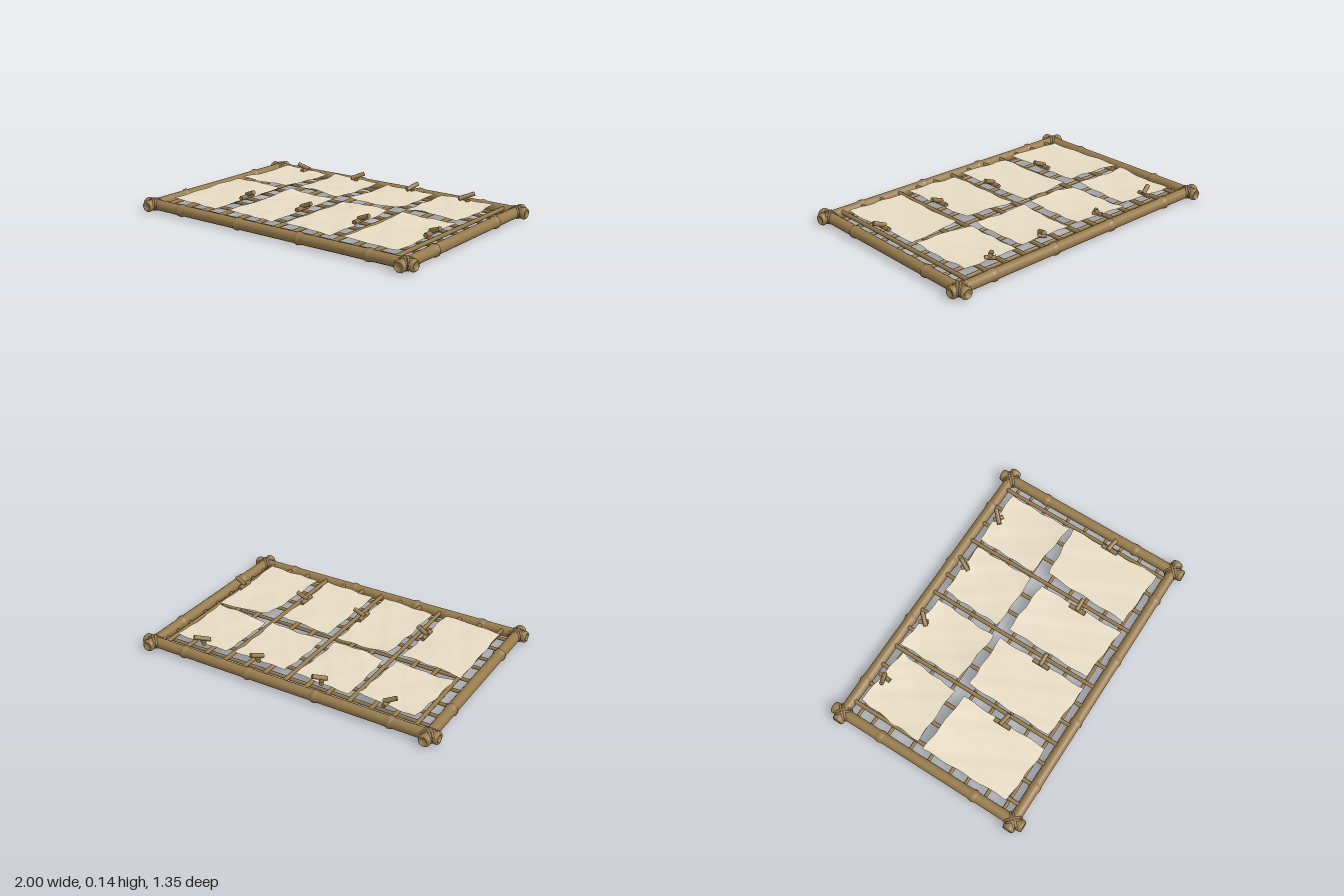
import * as THREE from 'three';

const cane = new THREE.MeshStandardMaterial({ color: 0x967a4c });
cane.name = 'bamboo';
const paper = new THREE.MeshStandardMaterial({ color: 0xe6dac2 });
paper.name = 'paper';

const POLE_Y = 0.042;
const V = (x, y, z) => new THREE.Vector3(x, y, z);
const UP = V(0, 1, 0);

function add(parent, name, geometry, material) {
  const mesh = new THREE.Mesh(geometry, material);
  mesh.name = name;
  parent.add(mesh);
  return mesh;
}

// Places a y-aligned mesh so that it points along dir
function aim(mesh, position, dir) {
  mesh.position.copy(position);
  mesh.quaternion.setFromUnitVectors(UP, dir.clone().normalize());
  return mesh;
}

// Bamboo pole with swollen joints and flared, slightly hollow ends
function pole(length, joints) {
  const r = 0.033, h = length / 2;
  const pts = [[0, -h + 0.012], [0.02, -h + 0.012], [0.022, -h], [0.031, -h], [0.037, -h + 0.01], [0.037, -h + 0.02], [r, -h + 0.035]];
  for (const j of joints) {
    pts.push([r, j - 0.03], [0.036, j - 0.012], [0.040, j - 0.006], [0.037, j], [0.040, j + 0.006], [0.036, j + 0.012], [r, j + 0.03]);
  }
  pts.push([r, h - 0.035], [0.037, h - 0.02], [0.037, h - 0.01], [0.031, h], [0.022, h], [0.02, h - 0.012], [0, h - 0.012]);
  return new THREE.LatheGeometry(pts.map(p => new THREE.Vector2(...p)), 16);
}

function rod(parent, name, a, b, radius, sides = 8) {
  const d = b.clone().sub(a);
  const mesh = add(parent, name, new THREE.CylinderGeometry(radius, radius, d.length(), sides), cane);
  return aim(mesh, a.clone().add(b).multiplyScalar(0.5), d);
}

// Curled sheet between four corners [x, z], listed from back left clockwise
function sheet(corners, seed, backRow) {
  const n = 16;
  const g = new THREE.PlaneGeometry(1, 1, n, n);
  const p = g.attributes.position;
  const [a, b, c, d] = corners;
  for (let i = 0; i < p.count; i++) {
    const u = p.getX(i) + 0.5, v = 0.5 - p.getY(i);
    const mix = k => (a[k] * (1 - u) + b[k] * u) * (1 - v) + (d[k] * (1 - u) + c[k] * u) * v;
    const ragged = 0.004;
    const x = mix(0) + ragged * Math.sin(v * 17 + seed * 2.1);
    const z = mix(1) + ragged * Math.sin(u * 13 + seed * 1.7);
    // One edge lifts toward the gap between the rows, with light crumpling
    const gap = backRow ? v : 1 - v;
    let y = 0.075 + 0.018 * gap ** 3 * (0.6 + 0.4 * Math.sin(seed * 3 + u * 4));
    y += 0.0025 * Math.sin(u * 9 + seed * 2) * Math.cos(v * 8 - seed) + 0.0012 * Math.sin(u * 19 - v * 15 + seed);
    if (backRow) y += 0.012 * (1 - v) ** 3;
    p.setXYZ(i, x, y, z);
  }
  g.computeVertexNormals();
  return g;
}

// The same sheet facing down
function underside(top) {
  const g = top.clone();
  g.setIndex(Array.from(top.index.array).reverse());
  g.translate(0, -0.003, 0);
  g.computeVertexNormals();
  return g;
}

export function createModel() {
  const model = new THREE.Group();
  model.name = 'dryingRack';

  // Outer frame
  const frame = new THREE.Group();
  frame.name = 'frame';
  model.add(frame);
  for (const s of [-1, 1]) {
    const jx = s < 0 ? [-0.7, -0.22, 0.24, 0.7] : [-0.7, -0.24, 0.22, 0.7];
    aim(add(frame, s < 0 ? 'backPole' : 'frontPole', pole(2, jx), cane), V(0, POLE_Y, s * 0.605), V(1, 0, 0));
    aim(add(frame, s < 0 ? 'rightPole' : 'leftPole', pole(1.35, [-0.33, 0.33]), cane), V(s * 0.935, POLE_Y, 0), V(0, 0, 1));
  }

  // Crossed lashings on each corner
  for (const sx of [-1, 1]) for (const sz of [-1, 1]) {
    for (const turn of [-1, 1]) for (const offset of [-0.008, 0.008]) {
      const angle = turn * Math.PI / 4;
      const lash = add(frame, 'cornerLashing', new THREE.TorusGeometry(0.053, 0.007, 6, 20), cane);
      lash.position.set(sx * 0.935 + offset * Math.sin(angle), POLE_Y, sz * 0.605 + offset * Math.cos(angle));
      lash.rotation.y = angle;
      lash.scale.y = 0.67;
    }
  }

  // Lattice of thin canes, the long ones below
  const lattice = new THREE.Group();
  lattice.name = 'lattice';
  model.add(lattice);
  for (let i = 0; i < 13; i++) {
    const x = -0.84 + i * 0.141;
    rod(lattice, 'crossCane', V(x, 0.055, -0.6), V(x, 0.055, 0.6), 0.013);
  }
  for (const z of [-0.52, -0.42, -0.3, -0.14, -0.01, 0.14, 0.25, 0.39, 0.52]) {
    rod(lattice, 'longCane', V(-0.93, 0.036, z), V(0.93, 0.036, z), 0.011);
  }

  // Sheets laid out to dry in two rows
  const back = [
    [[-0.82, -0.55], [-0.44, -0.51], [-0.47, -0.11], [-0.85, -0.12]],
    [[-0.40, -0.55], [-0.03, -0.52], [-0.05, -0.10], [-0.40, -0.13]],
    [[0.04, -0.52], [0.40, -0.51], [0.40, -0.11], [0.02, -0.12]],
    [[0.45, -0.53], [0.82, -0.52], [0.82, -0.09], [0.44, -0.13]],
  ];
  const front = [
    [[-0.87, -0.07], [-0.47, -0.04], [-0.48, 0.54], [-0.86, 0.51]],
    [[-0.39, -0.06], [-0.04, -0.06], [-0.04, 0.54], [-0.40, 0.51]],
    [[0.04, -0.05], [0.39, -0.03], [0.39, 0.54], [0.03, 0.51]],
    [[0.48, -0.04], [0.83, -0.07], [0.84, 0.54], [0.46, 0.52]],
  ];
  [back, front].forEach((row, r) => row.forEach((corners, i) => {
    const top = sheet(corners, 1 + i + r * 5, r === 0);
    add(model, r ? 'frontSheet' : 'backSheet', top, paper);
    add(model, 'sheetUnderside', underside(top), cane);
  }));

  // Pegs: a short cane lying on the sheet edge and a tilted handle
  const peg = (low, high, baseA, baseB) => {
    const g = new THREE.Group();
    g.name = 'peg';
    model.add(g);
    rod(g, 'pegBase', V(baseA[0], 0.087, baseA[1]), V(baseB[0], 0.087, baseB[1]), 0.014, 10);
    rod(g, 'pegHandle', V(low[0], 0.096, low[1]), V(high[0], 0.125, high[1]), 0.014, 10);
  };
  peg([-0.61, -0.52], [-0.68, -0.495], [-0.625, -0.55], [-0.63, -0.47]);
  peg([-0.225, -0.485], [-0.165, -0.55], [-0.22, -0.54], [-0.19, -0.49]);
  peg([0.225, -0.47], [0.26, -0.545], [0.22, -0.52], [0.26, -0.49]);
  peg([0.60, -0.48], [0.67, -0.55], [0.61, -0.53], [0.66, -0.49]);
  for (const [x, z, slope] of [[-0.49, 0.245, 0.018], [-0.05, 0.24, 0], [0.373, 0.24, 0], [0.83, 0.20, 0.015]]) {
    peg([x - 0.01, z - slope / 2], [x + 0.065, z + slope / 2], [x, z - 0.055], [x, z + 0.055]);
  }

  return model;
}
